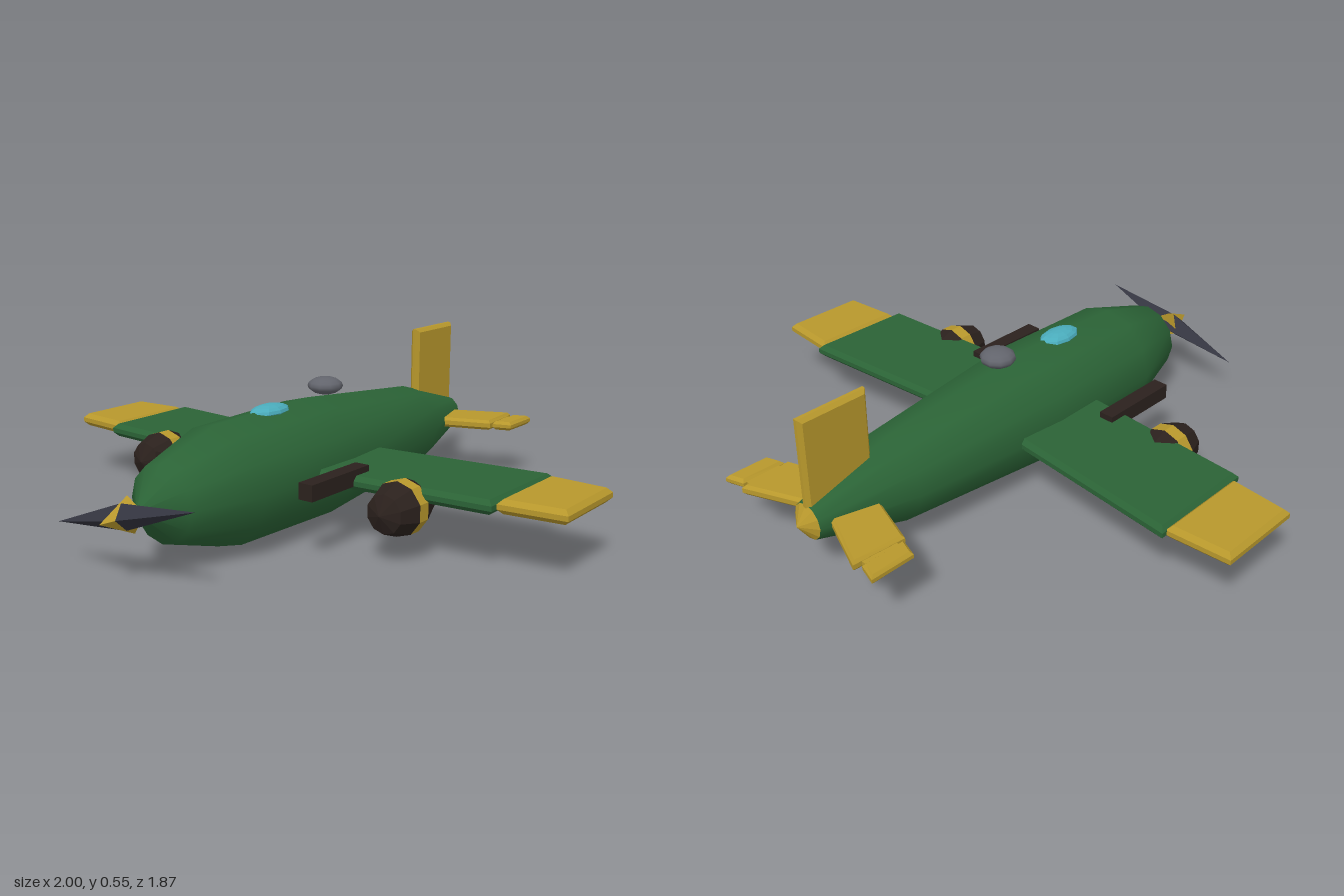
import * as THREE from 'three';

const AXIS = 0.205; // height of the fuselage centre line

const mat = (color, flatShading = false) => new THREE.MeshStandardMaterial({ color, flatShading });
const green = mat(0x2b6336);
const gold = mat(0xb8982c, true);
const black = mat(0x2b211d, true);
const steel = mat(0x33343f, true);
const grey = mat(0x62646c);
const glass = mat(0x4aacbc, true);
const greenFlat = mat(0x2b6336, true);

export function createModel() {
  const model = new THREE.Group();
  model.name = 'aeroplane';

  const add = (name, geometry, material, x = 0, y = 0, z = 0) => {
    const mesh = new THREE.Mesh(geometry, material);
    mesh.name = name;
    mesh.position.set(x, y, z);
    model.add(mesh);
    return mesh;
  };

  // Body of revolution along z, from [z, radius] pairs ordered back to front
  const turned = (profile, sides) =>
    new THREE.LatheGeometry(profile.map(([z, r]) => new THREE.Vector2(r, z)), sides).rotateX(Math.PI / 2);

  // Flat outline extruded with chamfered edges, centred on its thickness
  const slab = (points, thickness, bevel) =>
    new THREE.ExtrudeGeometry(new THREE.Shape(points.map(([a, b]) => new THREE.Vector2(a, b))), {
      depth: thickness - 2 * bevel,
      bevelEnabled: true,
      bevelThickness: bevel,
      bevelSize: bevel,
      bevelOffset: -bevel,
      bevelSegments: 1,
    }).translate(0, 0, bevel - thickness / 2);

  // Horizontal panel from [x, z] corners
  const panel = (name, side, corners, thickness, bevel, material, y) =>
    add(name, slab(corners.map(([x, z]) => [side * x, -z]), thickness, bevel).rotateX(-Math.PI / 2), material, 0, y, 0);

  // Fuselage and tail cap
  add('fuselage', turned([
    [-0.89, 0.06], [-0.58, 0.148], [0, 0.203], [0.45, 0.195], [0.69, 0.122], [0.79, 0],
  ], 12), green, 0, AXIS);
  add('tailCap', turned([[-0.93, 0], [-0.89, 0.06]], 12), gold, 0, AXIS);

  // Canopy and top turret
  add('canopy', new THREE.SphereGeometry(1, 10, 8).scale(0.048, 0.025, 0.085), glass, 0, 0.395, 0.195);
  add('turret', new THREE.SphereGeometry(1, 10, 8).scale(0.06, 0.03, 0.06), grey, 0, 0.433, -0.1);

  // Fin
  const fin = slab([[0.65, 0.2], [0.895, 0.2], [0.895, 0.557], [0.65, 0.557]], 0.036, 0.012);
  add('fin', fin.rotateY(Math.PI / 2), gold);

  // Propeller
  const blade = add('propellerBlade', new THREE.OctahedronGeometry(1).scale(0.287, 0.04, 0.052), steel, 0, AXIS, 0.84);
  blade.rotation.z = 0.24;
  const spinner = add('spinner', new THREE.ConeGeometry(0.056, 0.12, 4).rotateX(Math.PI / 2), gold, 0, AXIS, 0.87);
  spinner.rotation.z = 0.24;

  for (const side of [1, -1]) {
    const name = (part) => (side > 0 ? 'left' : 'right') + part;

    // Wing with coloured tip
    panel(name('Wing'), side, [[0.05, 0.2], [0.785, 0.15], [0.79, -0.235], [0.05, -0.168]], 0.046, 0.015, greenFlat, 0.208);
    panel(name('WingTip'), side, [[0.785, 0.12], [1, 0.1], [1, -0.2], [0.785, -0.215]], 0.046, 0.015, gold, 0.208);

    // Tailplane with separate elevator tip
    panel(name('Tailplane'), side, [[0.02, -0.67], [0.275, -0.755], [0.262, -0.935], [0.02, -0.835]], 0.036, 0.01, gold, 0.208);
    panel(name('TailplaneTip'), side, [[0.28, -0.765], [0.345, -0.785], [0.345, -0.937], [0.28, -0.917]], 0.032, 0.01, gold, 0.208);
    add(name('TailplaneHinge'), new THREE.BoxGeometry(0.04, 0.014, 0.12), gold, side * 0.275, 0.208, -0.845);

    // Engine pod: nose, band, tapered body, exhaust
    const pod = (part, profile, material) => add(name(part), turned(profile, 10), material, side * 0.495, 0.165);
    pod('EngineNose', [[0.2, 0.087], [0.268, 0.062], [0.295, 0]], black);
    pod('EngineBand', [[0.155, 0.087], [0.2, 0.087]], gold);
    pod('EngineBody', [[0.03, 0], [0.03, 0.035], [0.155, 0.087]], black);
    pod('EngineExhaust', [[0, 0], [0, 0.034], [0.05, 0.022]], gold);

    // Wing gun
    add(name('Gun'), new THREE.BoxGeometry(0.052, 0.052, 0.29), black, side * 0.297, 0.225, 0.245);
  }

  return model;
}
